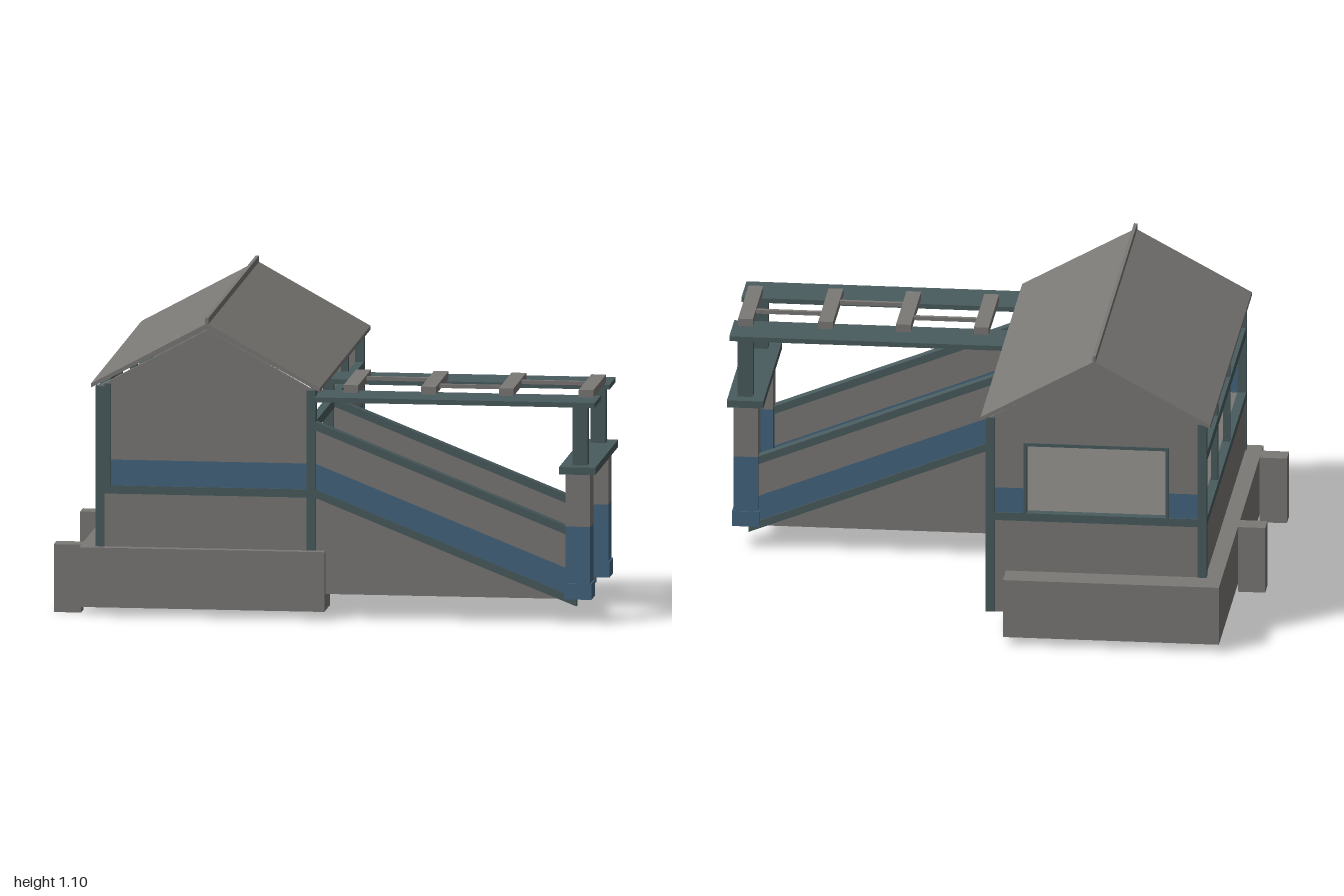
import * as THREE from 'three';

const mat = (name, color) => {
  const m = new THREE.MeshStandardMaterial({ color });
  m.name = name;
  return m;
};

export function createModel() {
  const root = new THREE.Group();
  root.name = 'stairHouse';
  const grey = mat('concreteGrey', 0x7a7976);
  const teal = mat('tealTrim', 0x4a5c5e);
  const blue = mat('bluePaint', 0x446580);

  // box given by its limits on each axis
  const box = (name, m, x0, x1, y0, y1, z0, z1, parent = root) => {
    const mesh = new THREE.Mesh(new THREE.BoxGeometry(x1 - x0, y1 - y0, z1 - z0), m);
    mesh.position.set((x0 + x1) / 2, (y0 + y1) / 2, (z0 + z1) / 2);
    mesh.name = name;
    parent.add(mesh);
    return mesh;
  };
  // outline in x/y, extruded from z0 to z1
  const panel = (name, m, pts, z0, z1, parent = root) => {
    const shape = new THREE.Shape(pts.map(p => new THREE.Vector2(p[0], p[1])));
    const geo = new THREE.ExtrudeGeometry(shape, { depth: z1 - z0, bevelEnabled: false });
    const mesh = new THREE.Mesh(geo, m);
    mesh.position.z = z0;
    mesh.name = name;
    parent.add(mesh);
    return mesh;
  };

  const L = -0.84, R = -0.04, B = -0.67, F = 0.73, MID = -0.435, T = 0.025;

  // foundation: hollow kerb with a shelf up to the house walls
  const foundation = new THREE.Group();
  foundation.name = 'foundation';
  root.add(foundation);
  const fnd = (...a) => box('foundationWall', grey, ...a, foundation);
  fnd(-0.9, 0, 0.03, 0.25, 0.745, 0.765);
  fnd(-0.9, -0.88, 0.03, 0.25, -0.775, 0.765);
  fnd(-0.9, -0.11, 0.03, 0.25, -0.775, -0.755);
  fnd(-0.02, 0, 0.03, 0.25, 0.61, 0.745);
  fnd(-0.13, -0.11, 0.03, 0.25, -0.755, -0.65);
  fnd(-0.88, -0.02, 0.235, 0.25, F - T, 0.745);
  fnd(-0.88, -0.13, 0.235, 0.25, -0.755, B + T);
  fnd(-0.88, L + T, 0.235, 0.25, B + T, F - T);
  for (const z of [-0.08, 0.67]) box('buttress', grey, -1, -0.9, 0, 0.25, z - 0.038, z + 0.038, foundation);

  // floor and lower walls
  const house = new THREE.Group();
  house.name = 'house';
  root.add(house);
  const part = (name, m, ...a) => box(name, m, ...a, house);
  part('floor', grey, L + T, R - T, 0.45, 0.474, B + T, F - T);
  for (const [x0, x1] of [[L, L + T], [R - T, R]]) {
    part('lowerSideWall', grey, x0, x1, 0.09, 0.445, B + T, F - T);
    part('floorTrim', teal, x0 - 0.004, x1 + 0.004, 0.445, 0.475, B, F);
    part('sideRail', teal, x0 - 0.003, x1 + 0.003, 0.69, 0.725, B + T, F - T);
    part('eaveBeam', teal, x0, x1, 0.815, 0.835, B + T, F - T);
    for (const z of [-0.23, 0.185]) part('sidePost', teal, x0, x1, 0.475, 0.82, z - 0.017, z + 0.017);
    for (const z of [B, F - T]) part('cornerPost', teal, x0 - 0.004, x1 + 0.004, 0.09, 0.84, z - 0.004, z + T + 0.004);
  }
  // parapet beside the stair opening
  part('parapetBlue', blue, R - T, R, 0.475, 0.575, B + T, 0.17);
  part('parapetGrey', grey, R - T, R, 0.575, 0.69, B + T, 0.17);

  // front gable, solid
  for (const [z0, z1] of [[B, B + T], [F - T, F]]) {
    part('lowerGableWall', grey, L, R, 0.09, 0.445, z0, z1);
    part('gableTrim', teal, L, R, 0.445, 0.475, z0 - 0.004, z1 + 0.004);
  }
  part('frontBlueBand', blue, L, R, 0.475, 0.57, F - T, F);
  panel('frontGable', grey, [[L, 0.57], [R, 0.57], [R, 0.835], [MID, 1.055], [L, 0.835]], F - T, F, house);
  part('frontStrip', teal, -0.81, -0.788, 0.475, 0.85, F, F + 0.005);

  // back gable with a wide opening
  const o0 = -0.7, o1 = -0.18;
  part('backBlueBand', blue, L, o0, 0.475, 0.57, B, B + T);
  part('backBlueBand', blue, o1, R, 0.475, 0.57, B, B + T);
  panel('backGable', grey, [[L, 0.57], [o0, 0.57], [o0, 0.74], [o1, 0.74], [o1, 0.57], [R, 0.57],
    [R, 0.835], [MID, 1.055], [L, 0.835]], B, B + T, house);
  for (const x of [o0, o1]) part('openingJamb', teal, x - 0.006, x + 0.006, 0.475, 0.746, B - 0.004, B + T + 0.004);
  part('openingHead', teal, o0, o1, 0.734, 0.746, B - 0.004, B + T + 0.004);

  // roof
  panel('roof', grey, [[-0.86, 0.835], [MID, 1.06], [-0.02, 0.835], [-0.02, 0.85], [MID, 1.08], [-0.86, 0.85]],
    -0.7, 0.74, house);
  box('ridgeCap', grey, MID - 0.006, MID + 0.006, 1.07, 1.1, -0.7, 0.74, house);

  // staircase
  const stair = new THREE.Group();
  stair.name = 'staircase';
  root.add(stair);
  const slope = -0.397, X0 = R, X1 = 0.9;
  const yAt = (x, y) => y + slope * (x - X0);
  const band = (name, m, lo, hi, x1, z0, z1) => panel(name, m,
    [[X0, lo], [x1, yAt(x1, lo)], [x1, yAt(x1, hi)], [X0, hi]], z0, z1, stair);
  for (const z of [0.172, 0.713]) {
    const a = z - 0.012, b = z + 0.012;
    band('stairTrim', teal, 0.445, 0.475, 0.92, a - 0.005, b + 0.005);
    band('stairBlueBand', blue, 0.475, 0.57, X1, a, b);
    band('stairParapet', grey, 0.57, 0.695, X1, a, b);
    band('stairHandrail', teal, 0.695, 0.725, X1, a - 0.008, b + 0.008);
    panel('stairBaseWall', grey, [[X0, 0.09], [0.854, 0.09], [X0, 0.445]], a, b, stair);
  }
  // folded steps
  const N = 22, run = 0.96 / N, rise = 0.385 / N, top = [], under = [];
  for (let i = 0; i < N; i++) {
    const x = X0 + i * run, y = 0.475 - i * rise;
    top.push([x, y], [x + run, y]);
    under.unshift([x, y - rise - 0.006], [x + run - 0.006, y - rise - 0.006]);
  }
  // order each lower fold from the far end back to the house
  for (let i = 0; i < under.length; i += 2) [under[i], under[i + 1]] = [under[i + 1], under[i]];
  panel('steps', grey, [...top, ...under], 0.184, 0.701, stair);

  // gate posts with a shared cap beam
  const gate = new THREE.Group();
  gate.name = 'gate';
  root.add(gate);
  for (const [z, zu] of [[0.185, 0.185], [0.7, 0.705]]) {
    box('gatePostPlinth', blue, 0.878, 0.978, 0.092, 0.15, z - 0.049, z + 0.049, gate);
    box('gatePostBlue', blue, 0.883, 0.973, 0.092, 0.36, z - 0.045, z + 0.045, gate);
    box('gatePostGrey', grey, 0.883, 0.973, 0.36, 0.556, z - 0.045, z + 0.045, gate);
    box('gateUpperPost', teal, 0.905, 0.96, 0.583, 0.802, zu - 0.02, zu + 0.02, gate);
  }
  box('gateCapBeam', teal, 0.862, 0.995, 0.556, 0.583, 0.12, 0.772, gate);

  // pergola over the stairs
  const pergola = new THREE.Group();
  pergola.name = 'pergola';
  root.add(pergola);
  box('pergolaPlank', teal, R, 0.99, 0.8, 0.818, 0.155, 0.33, pergola);
  box('pergolaPlank', teal, R, 0.99, 0.8, 0.818, 0.575, 0.75, pergola);
  const xs = [0.08, 0.365, 0.65, 0.943];
  xs.forEach(x => box('pergolaRafter', grey, x - 0.027, x + 0.027, 0.818, 0.846, 0.27, 0.63, pergola));
  [0.385, 0.522, 0.395].forEach((z, i) =>
    box('pergolaSpacer', grey, xs[i] + 0.027, xs[i + 1] - 0.027, 0.826, 0.84, z - 0.008, z + 0.008, pergola));

  return root;
}
